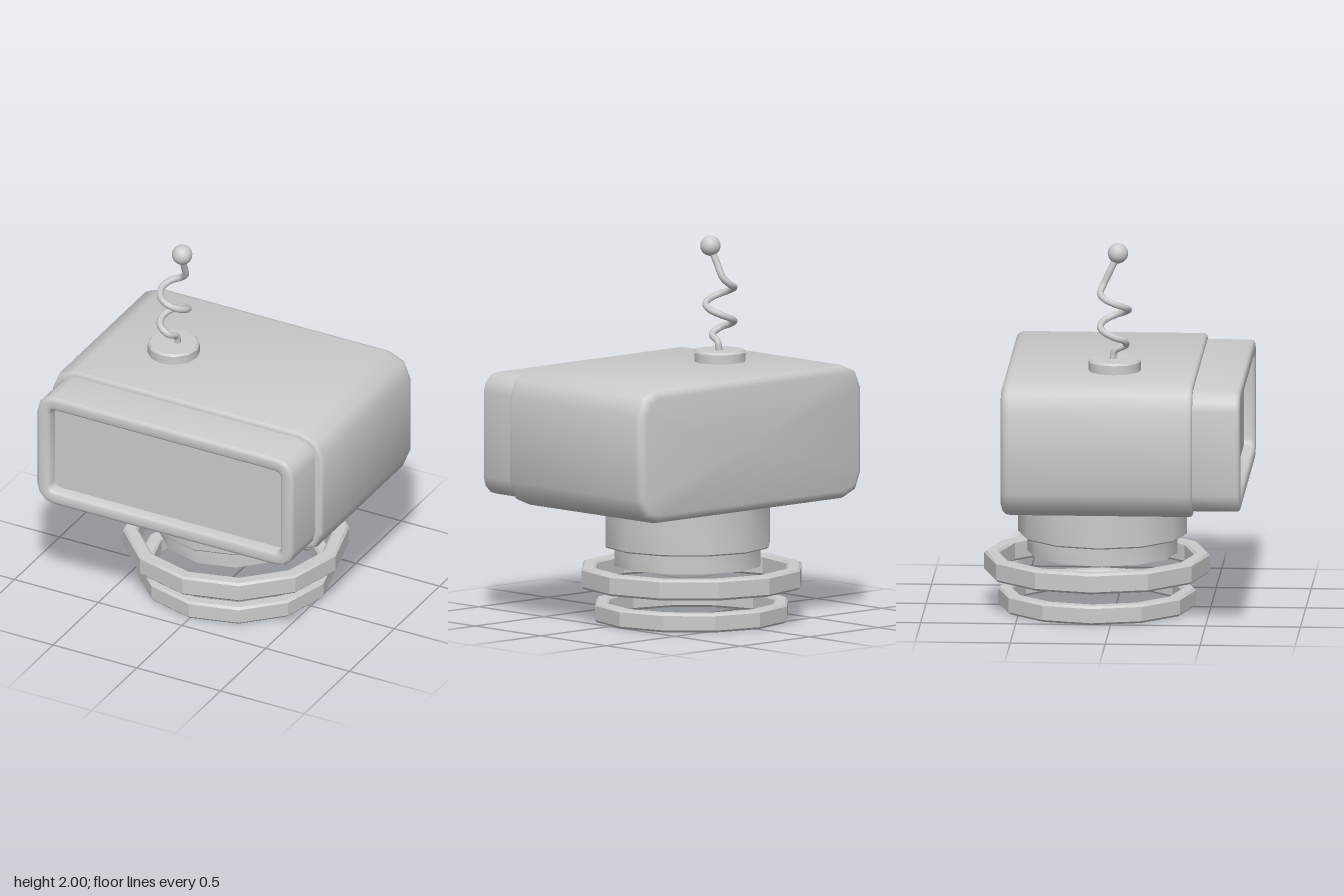
import * as THREE from 'three';
import { toCreasedNormals } from 'three/addons/utils/BufferGeometryUtils.js';

const grey = new THREE.MeshStandardMaterial({ color: 0xcccccc });

function add(parent, name, geometry, x = 0, y = 0, z = 0) {
  const mesh = new THREE.Mesh(geometry, grey);
  mesh.name = name;
  mesh.position.set(x, y, z);
  parent.add(mesh);
  return mesh;
}

// Rounded rectangle outline, counter-clockwise seen from the front
function outline(hw, hh, r, z, steps) {
  const points = [];
  [[1, 1], [-1, 1], [-1, -1], [1, -1]].forEach(([sx, sy], corner) => {
    for (let i = 0; i <= steps; i++) {
      const a = (corner + i / steps) * Math.PI / 2;
      points.push([sx * (hw - r) + r * Math.cos(a), sy * (hh - r) + r * Math.sin(a), z]);
    }
  });
  return points;
}

// Skin over outlines listed from back to front; each layer is [z, inset]
function loft(hw, hh, r, layers, steps = 2) {
  const rings = layers.map(([z, inset]) =>
    outline(hw - inset, hh - inset, Math.max(r - inset, 0.035), z, steps));
  const pos = [];
  const n = rings[0].length;
  const last = rings.length - 1;
  const backCentre = [0, 0, layers[0][0]];
  const frontCentre = [0, 0, layers[last][0]];
  for (let i = 0; i < n; i++) {
    const j = (i + 1) % n;
    pos.push(...backCentre, ...rings[0][j], ...rings[0][i]);
    pos.push(...frontCentre, ...rings[last][i], ...rings[last][j]);
    for (let l = 0; l < last; l++) {
      const a = rings[l][i], b = rings[l][j], c = rings[l + 1][j], d = rings[l + 1][i];
      pos.push(...a, ...b, ...c, ...a, ...c, ...d);
    }
  }
  const geometry = new THREE.BufferGeometry();
  geometry.setAttribute('position', new THREE.Float32BufferAttribute(pos, 3));
  return toCreasedNormals(geometry, 0.9);
}

// Quarter-round bevel layers between two depths
function bevel(zStart, size, front) {
  const layers = [];
  for (let i = 0; i <= 3; i++) {
    const a = i / 3 * Math.PI / 2;
    layers.push(front
      ? [zStart - size + size * Math.sin(a), size * (1 - Math.cos(a))]
      : [zStart + size * (1 - Math.cos(a)), size * (1 - Math.sin(a))]);
  }
  return layers;
}

function turned(profile, crease) {
  const points = profile.map(([r, y]) => new THREE.Vector2(r, y));
  return toCreasedNormals(new THREE.LatheGeometry(points, 12), crease);
}

// Twelve-sided hoop with slightly softened edges
function hoop(outer, inner, y0, y1) {
  const b = 0.012;
  return turned([
    [inner + b, y0], [outer - b, y0], [outer, y0 + b], [outer, y1 - b],
    [outer - b, y1], [inner + b, y1], [inner, y1 - b], [inner, y0 + b], [inner + b, y0],
  ], 0.4);
}

export function createModel() {
  const model = new THREE.Group();
  model.name = 'robotHead';

  // Head box, softer at the back than at the front
  add(model, 'headShell',
    loft(0.808, 0.355, 0.135, [...bevel(-0.565, 0.045, false), ...bevel(0.445, 0.02, true)]),
    0, 0.975, 0);

  // Face frame with a recessed screen
  add(model, 'faceFrame',
    loft(0.765, 0.325, 0.1, [
      [0.42, 0], ...bevel(0.695, 0.022, true),
      [0.695, 0.06], [0.689, 0.071], [0.675, 0.077], [0.635, 0.08],
    ], 3),
    0, 0.975, 0);

  // Stepped neck
  add(model, 'neck', turned([
    [0, 0.29], [0.395, 0.29], [0.395, 0.39], [0.437, 0.39],
    [0.445, 0.398], [0.445, 0.65], [0, 0.65],
  ], 0.6), 0, 0, -0.07);

  // Loose collar hoops below the neck
  add(model, 'upperHoop', hoop(0.595, 0.515, 0.18, 0.29), 0, 0, -0.1);
  add(model, 'lowerHoop', hoop(0.522, 0.445, 0, 0.1), 0, 0, -0.1);

  // Spring antenna
  const antenna = new THREE.Group();
  antenna.name = 'antenna';
  model.add(antenna);
  add(antenna, 'antennaBase', turned([
    [0.138, 1.32], [0.138, 1.378], [0.128, 1.39], [0, 1.39],
  ], 0.6), -0.312, 0, 0.012);

  const path = [[-0.295, 1.38, 0], [-0.295, 1.43, 0.01], [-0.31, 1.465, 0.07]];
  for (let i = 1; i <= 12; i++) {
    const a = i / 8 * Math.PI * 2;
    path.push([-0.31 - 0.075 * Math.sin(a), 1.475 + 0.0225 * i, 0.01 + 0.075 * Math.cos(a)]);
  }
  path.push([-0.275, 1.78, -0.05], [-0.265, 1.86, -0.012], [-0.255, 1.94, 0.025]);
  const curve = new THREE.CatmullRomCurve3(path.map(p => new THREE.Vector3(...p)));
  add(antenna, 'antennaSpring', new THREE.TubeGeometry(curve, 90, 0.018, 8));
  add(antenna, 'antennaTip', new THREE.SphereGeometry(0.054, 20, 14), -0.255, 1.946, 0.025);

  return model;
}
